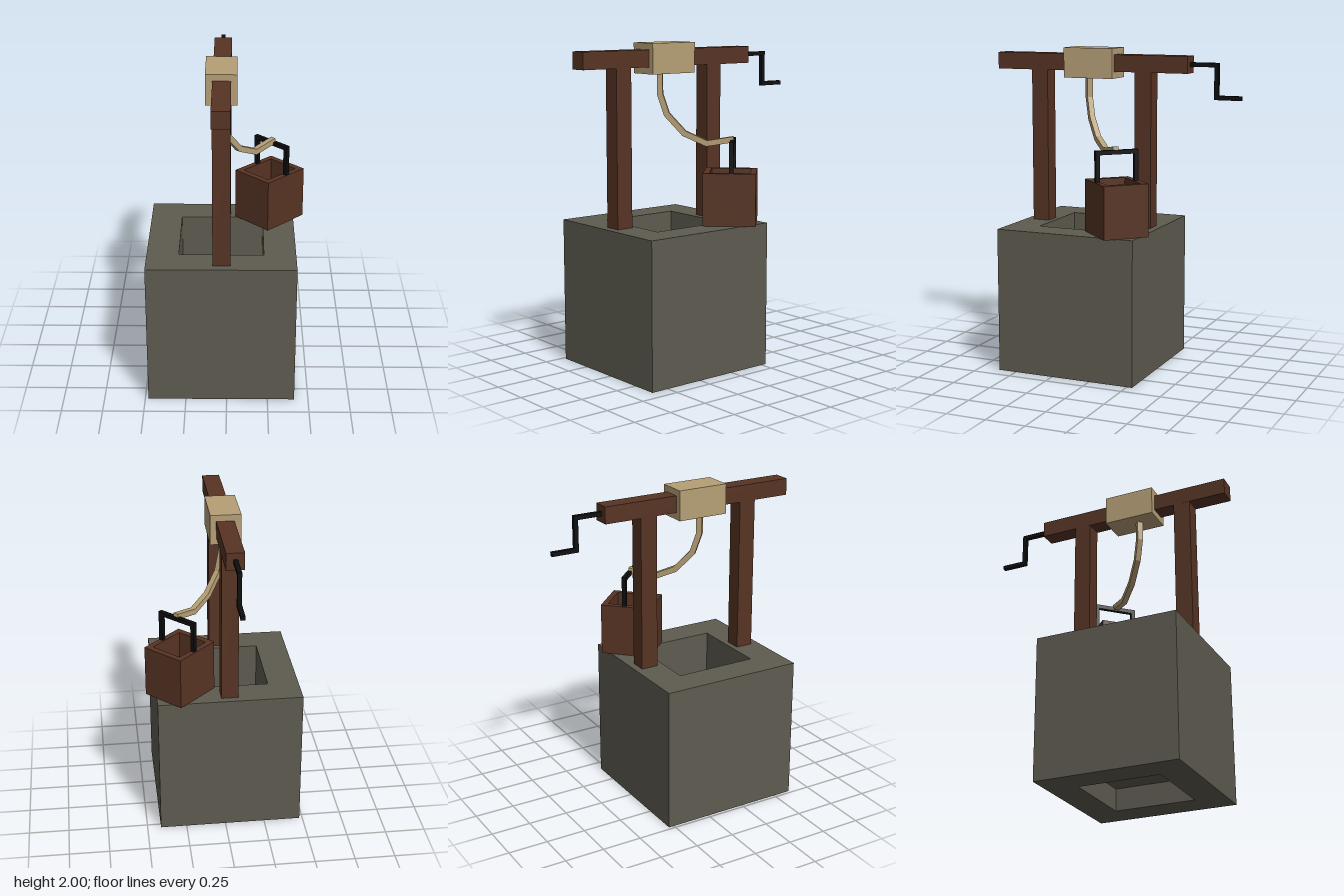
import * as THREE from 'three';

const mat = (name, color) => {
  const m = new THREE.MeshStandardMaterial({ color });
  m.name = name;
  return m;
};

export function createModel() {
  const stone = mat('stone', 0x5e5b50);
  const wood = mat('wood', 0x573424);
  const ropeTan = mat('rope tan', 0xb69f76);
  const iron = mat('black iron', 0x0e0e0e);

  const model = new THREE.Group();
  model.name = 'well';

  const add = (name, geometry, material, x, y, z, parent = model) => {
    const mesh = new THREE.Mesh(geometry, material);
    mesh.name = name;
    mesh.position.set(x, y, z);
    parent.add(mesh);
    return mesh;
  };
  const box = (name, material, w, h, d, x, y, z, parent) =>
    add(name, new THREE.BoxGeometry(w, h, d), material, x, y, z, parent);

  // Square-section bar following a flat path, with mitred corners
  const bar = (points, size) => {
    const p = points.map(([x, y]) => new THREE.Vector2(x, y));
    const left = [], right = [];
    p.forEach((pt, i) => {
      const a = p[Math.max(i - 1, 0)], b = p[Math.min(i + 1, p.length - 1)];
      const inDir = (i > 0 ? pt.clone().sub(a) : b.clone().sub(pt)).normalize();
      const outDir = (i < p.length - 1 ? b.clone().sub(pt) : inDir.clone()).normalize();
      const n = new THREE.Vector2(-inDir.y - outDir.y, inDir.x + outDir.x).normalize();
      const reach = size / 2 / (n.x * -inDir.y + n.y * inDir.x);
      left.push(pt.clone().addScaledVector(n, reach));
      right.push(pt.clone().addScaledVector(n, -reach));
    });
    const shape = new THREE.Shape([...left, ...right.reverse()]);
    const g = new THREE.ExtrudeGeometry(shape, { depth: size, bevelEnabled: false });
    return g.translate(0, 0, -size / 2);
  };

  // Open square tube standing on y = 0
  const squareTube = (w, d, h, wall) => {
    const rect = (a, b) => [[-a, -b], [a, -b], [a, b], [-a, b]].map(([x, y]) => new THREE.Vector2(x, y));
    const shape = new THREE.Shape(rect(w / 2, d / 2));
    shape.holes.push(new THREE.Path(rect(w / 2 - wall, d / 2 - wall).reverse()));
    return new THREE.ExtrudeGeometry(shape, { depth: h, bevelEnabled: false }).rotateX(-Math.PI / 2);
  };

  // Stone shaft with a raised floor inside
  add('wellWall', squareTube(0.895, 0.9, 0.9, 0.193), stone, -0.033, 0, 0.165);
  box('wellFloor', stone, 0.51, 0.008, 0.515, -0.033, 0.144, 0.165);

  // Timber frame
  for (const [name, z] of [['frontPost', 0.51], ['backPost', -0.187]]) {
    box(name, wood, 0.105, 0.96, 0.108, -0.031, 1.38, z);
  }
  box('crossBeam', wood, 0.108, 0.104, 1.276, -0.03, 1.909, 0.162);

  // Rope wound on the beam, and the slack length running to the bucket
  box('ropeSpool', ropeTan, 0.186, 0.185, 0.324, -0.033, 1.9075, 0.162);
  const rope = add('hangingRope', bar([
    [0, 1.83], [0, 1.69], [0.042, 1.565], [0.148, 1.45], [0.285, 1.39], [0.45, 1.417],
  ], 0.035), ropeTan, -0.035, 0, 0.195);
  rope.rotation.y = Math.PI / 4;

  // Crank at the back end of the beam
  const crank = add('crankHandle', bar([
    [0.47, 1.91], [0.643, 1.91], [0.643, 1.716], [0.8, 1.716],
  ], 0.026), iron, -0.031, 0, 0);
  crank.rotation.y = Math.PI / 2;

  // Bucket, turned on the rim of the well
  const bucket = new THREE.Group();
  bucket.name = 'bucket';
  bucket.position.set(0.263, 0.9, -0.117);
  bucket.rotation.y = -Math.PI / 4;
  model.add(bucket);
  add('bucketWall', squareTube(0.283, 0.32, 0.322, 0.037), wood, 0, 0, 0, bucket);
  box('bucketFloor', wood, 0.21, 0.008, 0.247, 0, 0.05, 0, bucket);
  add('bucketHandle', bar([
    [-0.124, 0.3], [-0.124, 0.5], [0.124, 0.5], [0.124, 0.3],
  ], 0.026), iron, 0.003, 0, -0.012, bucket);

  return model;
}
